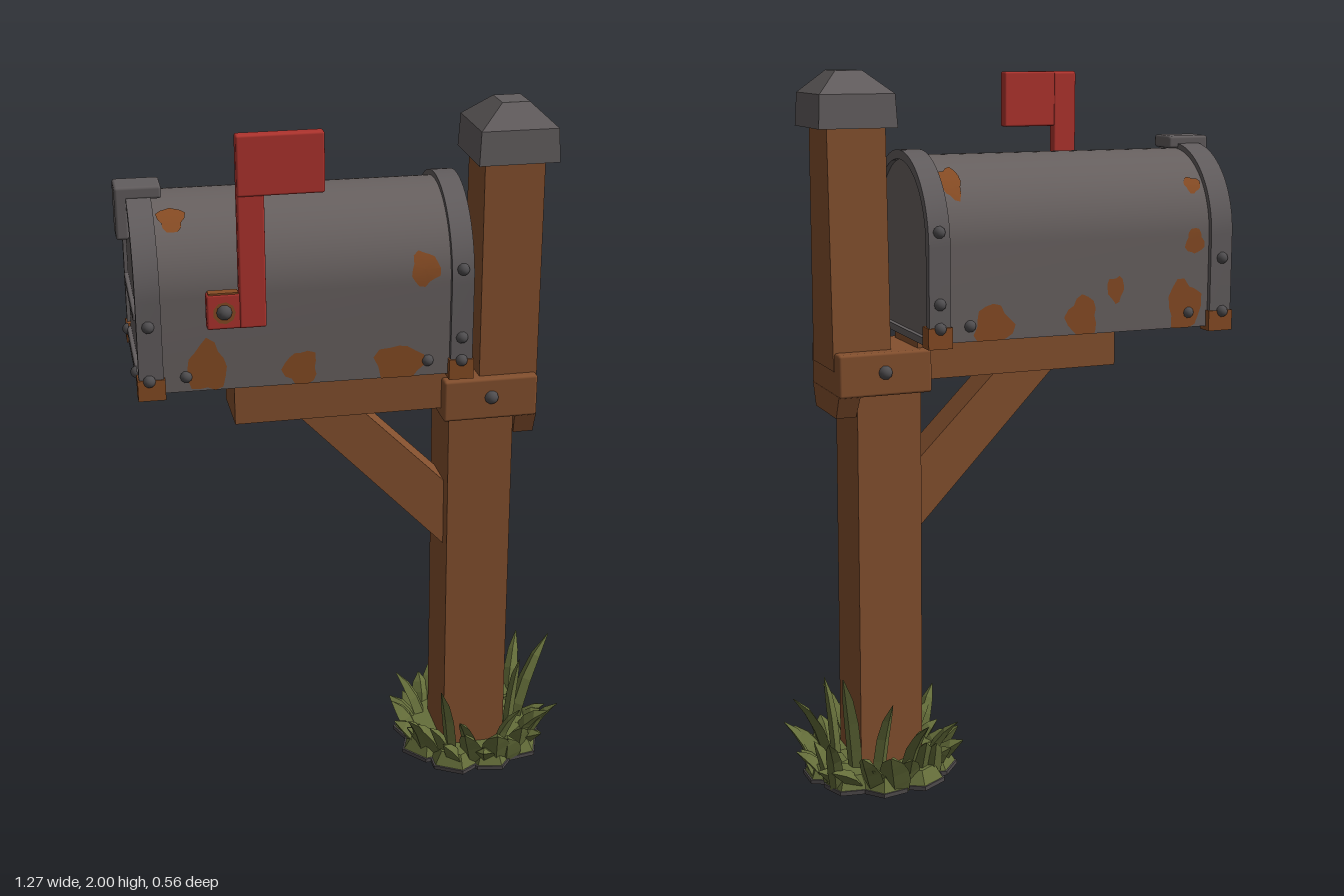
import * as THREE from 'three';
import { toCreasedNormals } from 'three/addons/utils/BufferGeometryUtils.js';
import { RoundedBoxGeometry } from 'three/addons/geometries/RoundedBoxGeometry.js';

const flat = (name, color) => Object.assign(new THREE.MeshStandardMaterial({ color }), { name });

export function createModel() {
  const metal = flat('grey metal', 0x686160);
  const trim = flat('trim metal', 0x625d5e);
  const bolt = flat('bolt steel', 0x504e50);
  const wood = flat('wood', 0x84502e);
  const rust = flat('rust', 0x874c24);
  const red = flat('red paint', 0xb0342e);
  const grass = flat('grass green', 0x656e3a);
  const stone = flat('dark soil', 0x4e4a4b);

  const model = new THREE.Group();
  const add = (parent, name, geometry, material) => {
    const mesh = new THREE.Mesh(geometry, material);
    mesh.name = name;
    parent.add(mesh);
    return mesh;
  };
  // Box given by its extents, optionally with rounded edges
  const box = (parent, name, material, x0, x1, y0, y1, z0, z1, r = 0) => {
    const size = [x1 - x0, y1 - y0, z1 - z0];
    const g = r ? new RoundedBoxGeometry(...size, 2, r) : new THREE.BoxGeometry(...size);
    g.translate((x0 + x1) / 2, (y0 + y1) / 2, (z0 + z1) / 2);
    return add(parent, name, g, material);
  };
  // Box whose top and bottom rectangles differ: [x0, x1, z0, z1]
  const frustum = (parent, name, material, y0, bottom, y1, top) => {
    const g = new THREE.BoxGeometry(1, 1, 1), p = g.attributes.position;
    for (let i = 0; i < p.count; i++) {
      const up = p.getY(i) > 0, r = up ? top : bottom;
      p.setXYZ(i, p.getX(i) > 0 ? r[1] : r[0], up ? y1 : y0, p.getZ(i) > 0 ? r[3] : r[2]);
    }
    const flatGeo = g.toNonIndexed();
    flatGeo.computeVertexNormals();
    return add(parent, name, flatGeo, material);
  };
  const stud = (parent, x, y, z, axis, dir, r = 0.017) => {
    const g = new THREE.SphereGeometry(r, 10, 5, 0, Math.PI * 2, 0, Math.PI / 2);
    if (axis === 'z') g.rotateX(dir * Math.PI / 2);
    else g.rotateZ(-dir * Math.PI / 2);
    g.translate(x, y, z);
    add(parent, 'bolt', g, bolt);
  };

  // Post, beam, bracket and brace
  const stand = new THREE.Group();
  stand.name = 'stand';
  model.add(stand);
  frustum(stand, 'lowerPost', wood, 0, [0.25, 0.435, -0.065, 0.135], 1.2, [0.24, 0.425, -0.06, 0.135]);
  frustum(stand, 'upperPost', wood, 1.2, [0.325, 0.49, -0.055, 0.135], 1.87, [0.325, 0.49, -0.035, 0.127]);
  box(stand, 'beam', wood, -0.355, 0.25, 1.16, 1.292, -0.06, 0.125);
  box(stand, 'bracket', wood, 0.22, 0.487, 1.13, 1.25, -0.095, 0.16, 0.008);
  frustum(stand, 'bracketFoot', wood, 1.07, [0.43, 0.487, -0.06, 0.13], 1.135, [0.425, 0.487, -0.09, 0.155]);
  const brace = new THREE.Shape([[-0.19, 1.17], [0.26, 0.7], [0.26, 0.9], [-0.01, 1.17]]
    .map(([x, y]) => new THREE.Vector2(x, y)));
  add(stand, 'brace', new THREE.ExtrudeGeometry(brace, { depth: 0.11, bevelEnabled: false }).translate(0, 0, -0.02), wood);
  stud(stand, 0.355, 1.195, 0.158, 'z', 1, 0.02);
  stud(stand, 0.355, 1.195, -0.093, 'z', -1, 0.02);

  // Post cap
  frustum(stand, 'capBase', trim, 1.85, [0.3, 0.52, -0.065, 0.16], 1.94, [0.305, 0.515, -0.06, 0.155]);
  frustum(stand, 'capTop', trim, 1.94, [0.305, 0.515, -0.06, 0.155], 2.0, [0.375, 0.45, 0.005, 0.095]);

  // Mailbox: arched sections extruded along x, centred on its own axis
  const mailbox = new THREE.Group();
  mailbox.name = 'mailbox';
  mailbox.position.z = -0.03;
  mailbox.rotation.y = -0.018;
  model.add(mailbox);
  const SHOULDER = 1.55, FLOOR = 1.293, R = 0.225;
  const archPath = (path, r, y0) => {
    path.moveTo(-r, y0);
    path.lineTo(r, y0);
    path.lineTo(r, SHOULDER);
    path.absarc(0, SHOULDER, r, 0, Math.PI, false);
    path.lineTo(-r, y0);
    return path;
  };
  const arch = (name, material, x0, x1, r, y0, holeR = 0) => {
    const shape = archPath(new THREE.Shape(), r, y0);
    if (holeR) shape.holes.push(archPath(new THREE.Path(), holeR, y0 + 0.02));
    const g = new THREE.ExtrudeGeometry(shape, { depth: x1 - x0, bevelEnabled: false, curveSegments: 20 });
    g.rotateY(Math.PI / 2).translate(x0, 0, 0);
    add(mailbox, name, toCreasedNormals(g, 0.5), material);
  };
  arch('body', metal, -0.59, 0.272, R, FLOOR);
  arch('doorRim', trim, -0.61, -0.545, 0.24, 1.285, 0.215);
  arch('backRim', trim, 0.225, 0.285, 0.24, 1.285, 0.215);
  arch('doorPanel', trim, -0.602, -0.585, 0.19, 1.315);
  for (const y of [1.33, 1.49]) box(mailbox, 'doorRib', trim, -0.614, -0.6, y - 0.012, y + 0.012, -0.17, 0.17, 0.005);

  // Door latch
  box(mailbox, 'latchTab', trim, -0.64, -0.517, 1.775, 1.81, -0.025, 0.07, 0.008);
  box(mailbox, 'latchFront', trim, -0.64, -0.605, 1.668, 1.808, -0.025, 0.07, 0.008);

  // Bolts and rusted rim corners on both sides
  for (const side of [1, -1]) {
    for (const [x, y, z] of [[-0.58, 1.485, 0.238], [-0.583, 1.335, 0.24], [-0.485, 1.335, 0.222],
      [0.165, 1.335, 0.222], [0.255, 1.59, 0.236], [0.255, 1.4, 0.238], [0.255, 1.335, 0.24]]) {
      stud(mailbox, x, y, side * z, 'z', side);
    }
    stud(mailbox, -0.61, 1.335, side * 0.165, 'x', -1);
    for (const [x0, x1] of [[-0.614, -0.541], [0.221, 0.289]]) {
      const z = [side * 0.195, side * 0.244].sort((a, b) => a - b);
      box(mailbox, 'rustyCorner', rust, x0, x1, 1.281, 1.338, ...z);
    }
  }

  // Rust blotches wrapped over the arch; s is the distance up from the front lower edge
  const straight = SHOULDER - FLOOR, total = 2 * straight + Math.PI * R;
  const onArch = (x, s) => {
    const r = R + 0.003, a = (s - straight) / R;
    if (a < 0) return [x, FLOOR + Math.max(s, 0), r];
    if (a > Math.PI) return [x, FLOOR + Math.max(total - s, 0), -r];
    return [x, SHOULDER + r * Math.sin(a), r * Math.cos(a)];
  };
  const blotch = (x, s, rx, rs, seed) => {
    const g = new THREE.RingGeometry(0.001, 1, 16, 4), p = g.attributes.position;
    for (let i = 0; i < p.count; i++) {
      const u = p.getX(i), v = p.getY(i), t = Math.atan2(v, u);
      const k = 1 + 0.13 * Math.sin(3 * t + seed) + 0.09 * Math.sin(5 * t + 2 * seed);
      p.setXYZ(i, ...onArch(x + u * k * rx, s + v * k * rs));
    }
    g.computeVertexNormals();
    add(mailbox, 'rustPatch', g, rust);
  };
  [[-0.5, 0.475, 0.035, 0.04], [0.155, 0.3, 0.038, 0.045], [-0.43, 0.065, 0.052, 0.07],
    [-0.18, 0.045, 0.045, 0.05], [0.085, 0.035, 0.065, 0.06], [0.195, 0.784, 0.03, 0.055],
    [-0.51, 0.82, 0.025, 0.025], [0.1, total - 0.04, 0.055, 0.055], [-0.16, total - 0.05, 0.045, 0.055],
    [-0.26, total - 0.12, 0.025, 0.035], [-0.47, total - 0.06, 0.05, 0.075], [-0.5, total - 0.24, 0.028, 0.035],
  ].forEach((b, i) => blotch(...b, i * 1.7));

  // Signal flag on the front side
  const flag = new THREE.Group();
  flag.name = 'flag';
  model.add(flag);
  box(flag, 'flagBase', red, -0.435, -0.28, 1.48, 1.575, 0.207, 0.24, 0.006);
  box(flag, 'flagPole', red, -0.35, -0.28, 1.48, 1.985, 0.21, 0.243, 0.006);
  box(flag, 'flagPlate', red, -0.35, -0.125, 1.83, 1.987, 0.212, 0.247, 0.006);
  box(flag, 'rustyEdge', rust, -0.43, -0.352, 1.572, 1.578, 0.21, 0.238);
  add(flag, 'rustSpot', new THREE.CircleGeometry(0.03, 9).translate(-0.39, 1.525, 0.242), rust);
  stud(flag, -0.39, 1.527, 0.239, 'z', 1, 0.021);
  const pin = new THREE.CylinderGeometry(0.02, 0.02, 0.06, 10).rotateX(Math.PI / 2);
  add(flag, 'flagPin', pin.translate(-0.39, 1.527, 0.205), bolt);

  // Grass blades: diamond cross-sections swept from base to a bent tip
  const tuft = new THREE.Group();
  tuft.name = 'grassTuft';
  model.add(tuft);
  const blade = (bx, bz, tx, tz, h, w) => {
    const base = new THREE.Vector3(bx, 0, bz), tip = new THREE.Vector3(tx, h, tz);
    const mid = new THREE.Vector3(bx + (tx - bx) * 0.2, h * 0.65, bz + (tz - bz) * 0.2);
    const curve = new THREE.QuadraticBezierCurve3(base, mid, tip);
    const side = new THREE.Vector3(tz - bz, 0, bx - tx).normalize();
    const widths = [0.8, 1, 0.95, 0.7, 0.06], pos = [], index = [];
    widths.forEach((k, i) => {
      const t = i / (widths.length - 1), c = curve.getPoint(t);
      const n = curve.getTangent(t).cross(side).normalize();
      for (const [a, b] of [[1, 0], [0, 0.6], [-1, 0], [0, -0.6]]) {
        const q = c.clone().addScaledVector(side, a * k * w / 2).addScaledVector(n, b * k * w / 2);
        pos.push(q.x, Math.max(q.y, 0), q.z);
      }
      for (let j = 0; i && j < 4; j++) {
        const a = (i - 1) * 4 + j, b = (i - 1) * 4 + (j + 1) % 4;
        index.push(a, b, b + 4, a, b + 4, a + 4);
      }
    });
    const g = new THREE.BufferGeometry();
    g.setAttribute('position', new THREE.Float32BufferAttribute(pos, 3));
    g.setIndex(index);
    const faceted = g.toNonIndexed();
    faceted.computeVertexNormals();
    add(tuft, 'grassBlade', faceted, grass);
  };
  [[0.45, -0.06, 0.495, -0.1, 0.33, 0.05], [0.5, 0.02, 0.63, -0.06, 0.28, 0.05], [0.27, 0.15, 0.225, 0.19, 0.27, 0.045],
    [0.47, 0.06, 0.5, 0.07, 0.28, 0.05], [0.52, -0.1, 0.58, -0.23, 0.2, 0.045], [0.2, 0.1, 0.13, 0.17, 0.17, 0.05],
    [0.23, -0.05, 0.16, -0.12, 0.16, 0.05], [0.33, 0.17, 0.27, 0.24, 0.19, 0.05], [0.4, 0.17, 0.46, 0.22, 0.2, 0.05],
    [0.32, -0.12, 0.3, -0.26, 0.22, 0.05], [0.4, -0.11, 0.38, -0.19, 0.27, 0.045], [0.53, 0.08, 0.61, 0.12, 0.14, 0.05],
  ].forEach((b) => blade(...b));

  // Short broad outer leaves over dark clods of soil
  let seed = 7;
  const rand = () => (seed = (seed * 16807) % 2147483647) / 2147483647;
  const cx = 0.36, cz = 0.015;
  for (let i = 0; i < 26; i++) {
    const a = i / 26 * Math.PI * 2 + rand() * 0.15, r = 0.15 + rand() * 0.03, out = 0.21 + rand() * 0.045;
    blade(cx + r * Math.cos(a), cz + r * Math.sin(a), cx + out * Math.cos(a + 0.15), cz + out * Math.sin(a + 0.15),
      0.06 + rand() * 0.08, 0.06 + rand() * 0.03);
  }
  for (let i = 0; i < 9; i++) {
    const a = i / 9 * Math.PI * 2, r = 0.145, size = 0.075 + rand() * 0.02;
    for (const [name, mat, y, h, k] of [['soilClod', stone, 0.006, 0.012, 1], ['grassMat', grass, 0.03, 0.04, 0.95]]) {
      const g = new THREE.CylinderGeometry(size * k * (h > 0.02 ? 0.7 : 1), size * k, h, 6).toNonIndexed();
      g.computeVertexNormals();
      add(tuft, name, g.rotateY(a).translate(cx + r * Math.cos(a), y, cz + r * Math.sin(a)), mat);
    }
  }
  return model;
}
